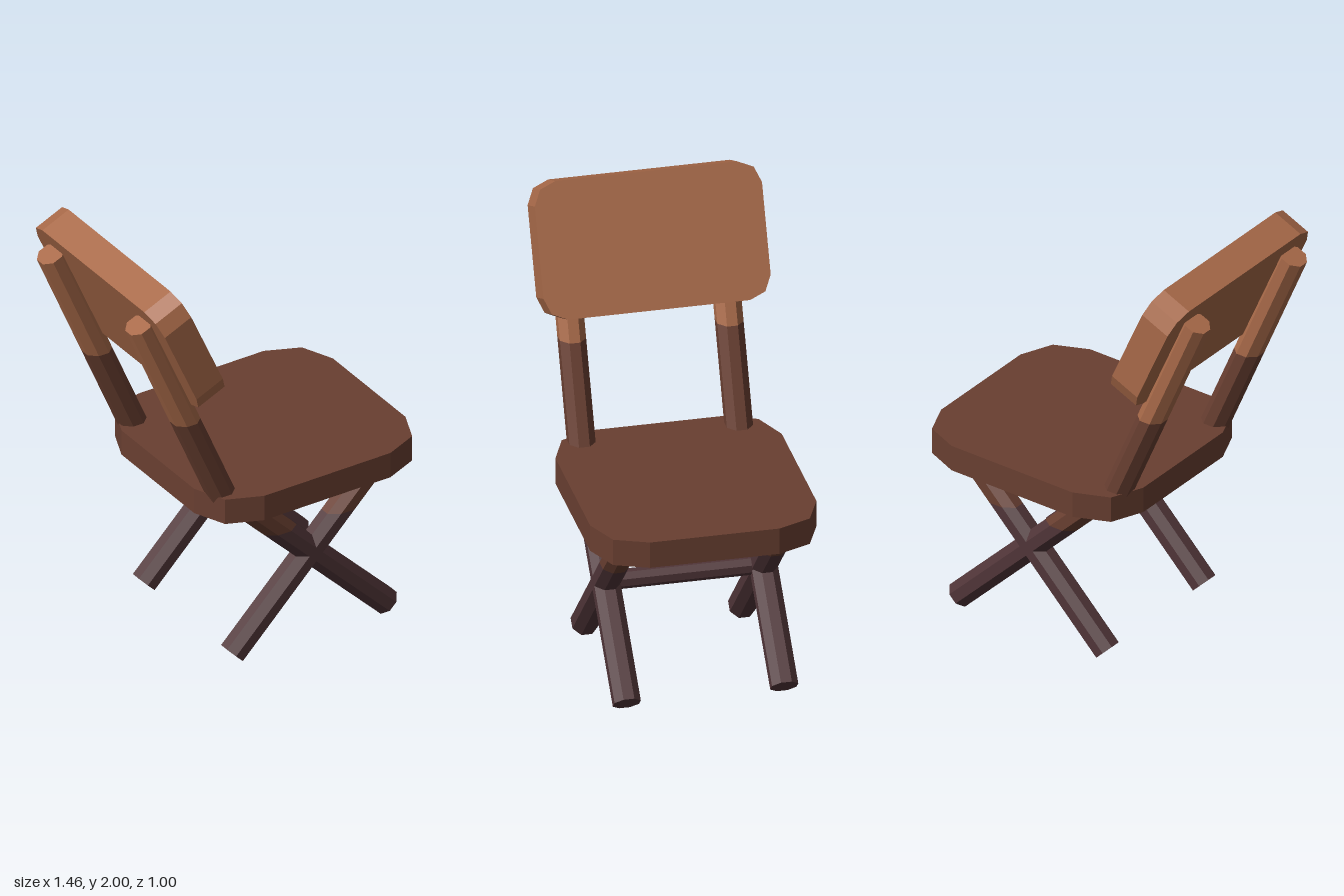
import * as THREE from 'three';

const mat = (name, color) => {
  const m = new THREE.MeshStandardMaterial({ color });
  m.name = name;
  return m;
};

export function createModel() {
  const light = mat('lightWood', 0xa96a49);
  const mid = mat('midWood', 0x693f31);
  const dark = mat('darkWood', 0x503538);
  const model = new THREE.Group();
  model.name = 'foldingChair';

  const add = (geometry, material, name, parent = model) => {
    const flat = geometry.index ? geometry.toNonIndexed() : geometry;
    flat.computeVertexNormals();
    const mesh = new THREE.Mesh(flat, material);
    mesh.name = name;
    parent.add(mesh);
    return mesh;
  };

  // Eight-sided beam from p to q, changing material at a horizontal cut
  const beam = (name, p, q, z, cutY, lower, upper) => {
    const group = new THREE.Group();
    group.name = name;
    group.position.z = z;
    model.add(group);
    const length = Math.hypot(q[0] - p[0], q[1] - p[1]);
    const dx = (q[0] - p[0]) / length, dy = (q[1] - p[1]) / length;
    [lower, upper].forEach((material, part) => {
      const g = new THREE.CylinderGeometry(0.0625, 0.0625, 1, 8, 1, false, Math.PI / 8);
      // keep the sides and only the outer end cap
      const [sides, top, bottom] = g.groups;
      const cap = part === 0 ? bottom : top;
      const index = Array.from(g.index.array);
      g.setIndex([
        ...index.slice(sides.start, sides.start + sides.count),
        ...index.slice(cap.start, cap.start + cap.count),
      ]);
      g.clearGroups();
      const pos = g.attributes.position;
      for (let i = 0; i < pos.count; i++) {
        const a = pos.getX(i);
        const cut = (cutY - p[1] + dx * a) / dy;
        const s = pos.getY(i) < 0 ? (part === 0 ? 0 : cut) : (part === 0 ? cut : length);
        pos.setXY(i, p[0] + dx * s + dy * a, p[1] + dy * s - dx * a);
      }
      add(g, material, name + (part === 0 ? 'Lower' : 'Upper'), group);
    });
  };

  // Plate extruded from an outline given as points
  const plate = (points, depth) =>
    new THREE.ExtrudeGeometry(new THREE.Shape(points.map(([x, y]) => new THREE.Vector2(x, y))),
      { depth, bevelEnabled: false });

  // Crossed legs and back posts on both sides
  for (const [side, z] of [['left', -0.34], ['right', 0.353]]) {
    beam(side + 'RisingLeg', [-0.2, 0.047], [0.57, 0.817], z, 0.6, dark, mid);
    beam(side + 'FallingLeg', [0.585, 0.047], [-0.185, 0.817], z, 0.6, dark, mid);
    beam(side + 'BackPost', [-0.238, 0.825], [-0.678, 1.855], z, 1.3, mid, light);
  }

  // Stretcher through the leg crossings
  const bar = new THREE.CylinderGeometry(0.043, 0.043, 0.66, 8, 1, false, Math.PI / 8);
  bar.rotateX(Math.PI / 2);
  add(bar, dark, 'stretcher').position.set(0.192, 0.442, 0.006);

  // Seat with clipped, two-step corners
  const half = [[-0.35, 0.285], [-0.288, 0.433], [-0.13, 0.498], [0.515, 0.498], [0.668, 0.433], [0.73, 0.285]];
  const mirrored = half.map(([x, y]) => [x, -y]).reverse();
  const seat = plate([...half, ...mirrored], 0.122);
  seat.rotateX(-Math.PI / 2);
  add(seat, mid, 'seat').position.y = 0.765;

  // Tilted backrest with clipped corners
  const w = 0.5, h = 0.299;
  const corner = [[w, h - 0.1], [w - 0.03, h - 0.03], [w - 0.1, h]];
  const flip = (pts, sx, sy) => pts.map(([x, y]) => [x * sx, y * sy]);
  const outline = [
    ...corner,
    ...flip(corner, -1, 1).reverse(),
    ...flip(corner, -1, -1),
    ...flip(corner, 1, -1).reverse(),
  ];
  const back = plate(outline, 0.147);
  back.translate(0, 0, -0.0735);
  back.rotateY(Math.PI / 2);
  const backrest = add(back, light, 'backrest');
  backrest.position.set(-0.491, 1.7, 0);
  backrest.rotation.z = 0.418;

  return model;
}
